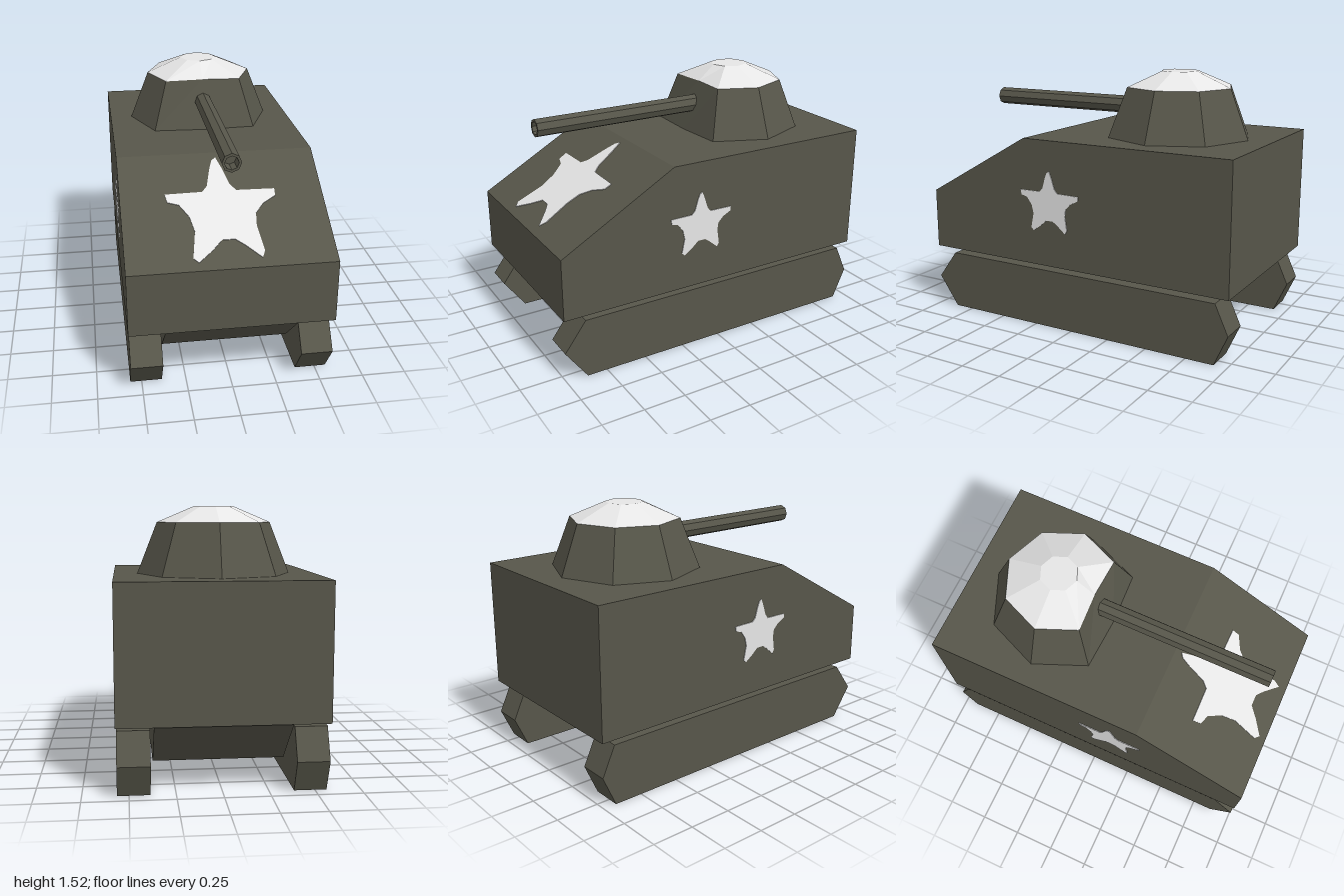
import * as THREE from 'three';

const olive = new THREE.MeshStandardMaterial({ color: 0x57564a });
olive.name = 'olive paint';
const white = new THREE.MeshStandardMaterial({ color: 0xe6e6e6 });
white.name = 'white paint';

// Mesh with one normal per facet
function flatMesh(name, geometry, material) {
  const geo = geometry.index ? geometry.toNonIndexed() : geometry;
  geo.computeVertexNormals();
  const mesh = new THREE.Mesh(geo, material);
  mesh.name = name;
  return mesh;
}

// Side profile of [z, y] points, extruded across x about the centre
function sidePrism(name, profile, width) {
  const shape = new THREE.Shape(profile.map(([z, y]) => new THREE.Vector2(z, y)));
  const geo = new THREE.ExtrudeGeometry(shape, { depth: width, bevelEnabled: false });
  geo.translate(0, 0, -width / 2).rotateY(-Math.PI / 2);
  return flatMesh(name, geo, olive);
}

// Hand painted star outline: x from -1 to 1, y from 0 to 1
const starOutline = [
  [-0.06, 0.97], [0.02, 1], [0.1, 0.89], [0.2, 0.72], [0.3, 0.655], [1, 0.65], [0.99, 0.58],
  [0.74, 0.51], [0.58, 0.42], [0.55, 0.3], [0.61, 0.07], [0.55, 0.01], [0.29, 0.13],
  [0.13, 0.19], [-0.1, 0.19], [-0.29, 0.1], [-0.55, 0], [-0.64, 0.04], [-0.55, 0.28],
  [-0.61, 0.42], [-0.77, 0.54], [-0.97, 0.57], [-1, 0.65], [-0.32, 0.655], [-0.22, 0.71],
  [-0.12, 0.89],
];

function star(name, halfWidth, height) {
  const shape = new THREE.Shape(starOutline.map(([x, y]) => new THREE.Vector2(x * halfWidth, y * height)));
  return flatMesh(name, new THREE.ExtrudeGeometry(shape, { depth: 0.004, bevelEnabled: false }), white);
}

// Eight-sided ring around the turret centre, with its front corner pulled back
function turretRing(radius, y, frontZ) {
  return Array.from({ length: 8 }, (_, k) => {
    const a = (k * Math.PI) / 4;
    const z = k === 0 ? frontZ : -0.42 + radius * Math.cos(a);
    return [radius * Math.sin(a), y, z];
  });
}

// Facets between two rings, optionally closed on top
function loft(name, lower, upper, material, capped) {
  const pos = [];
  const centre = [0, upper[0][1], -0.42];
  for (let k = 0; k < 8; k++) {
    const n = (k + 1) % 8;
    pos.push(...lower[k], ...lower[n], ...upper[n], ...lower[k], ...upper[n], ...upper[k]);
    if (capped) pos.push(...centre, ...upper[k], ...upper[n]);
  }
  const geo = new THREE.BufferGeometry();
  geo.setAttribute('position', new THREE.Float32BufferAttribute(pos, 3));
  return flatMesh(name, geo, material);
}

export function createModel() {
  const model = new THREE.Group();
  model.name = 'tank';

  // Hull with sloped front plate, and the narrower belly below
  model.add(sidePrism('hull', [[-1, 0.385], [1, 0.385], [1, 0.75], [0.31, 1.14], [-1, 1.14]], 1.14));
  model.add(sidePrism('belly', [[-0.7, 0.12], [0.7, 0.12], [0.99, 0.386], [-0.99, 0.386]], 0.735));

  // Tracks
  const trackProfile = [[-0.92, 0], [0.87, 0], [1, 0.18], [0.87, 0.353], [-0.92, 0.353], [-1, 0.18]];
  for (const side of [1, -1]) {
    const track = sidePrism(side > 0 ? 'leftTrack' : 'rightTrack', trackProfile, 0.178);
    track.position.x = side * 0.475;
    model.add(track);
  }

  // Turret and its pale roof
  const turret = new THREE.Group();
  turret.name = 'turret';
  const base = turretRing(0.437, 1.14, -0.095);
  const rim = turretRing(0.323, 1.43, -0.205);
  const crown = turretRing(0.11, 1.52, -0.31);
  turret.add(loft('turretWall', base, rim, olive, false));
  turret.add(loft('turretRoof', rim, crown, white, true));

  // Gun barrel with recessed muzzle
  const barrelProfile = [[0.053, -0.25], [0.053, 0.88], [0.038, 0.88], [0.038, 0.8], [0, 0.8]];
  const barrelGeo = new THREE.LatheGeometry(barrelProfile.map(([r, y]) => new THREE.Vector2(r, y)), 8);
  const barrel = flatMesh('gunBarrel', barrelGeo.rotateX(Math.PI / 2), olive);
  barrel.position.y = 1.298;
  turret.add(barrel);
  model.add(turret);

  // Painted stars on the front slope and both sides
  const frontStar = star('frontStar', 0.31, 0.702);
  frontStar.rotation.x = -Math.atan2(0.69, 0.39);
  frontStar.position.set(-0.01, 0.775, 0.956);
  model.add(frontStar);
  for (const side of [1, -1]) {
    const sideStar = star(side > 0 ? 'leftStar' : 'rightStar', 0.2, 0.365);
    sideStar.rotation.y = (side * Math.PI) / 2;
    sideStar.position.set(side * 0.57, 0.595, 0.134);
    model.add(sideStar);
  }

  return model;
}
